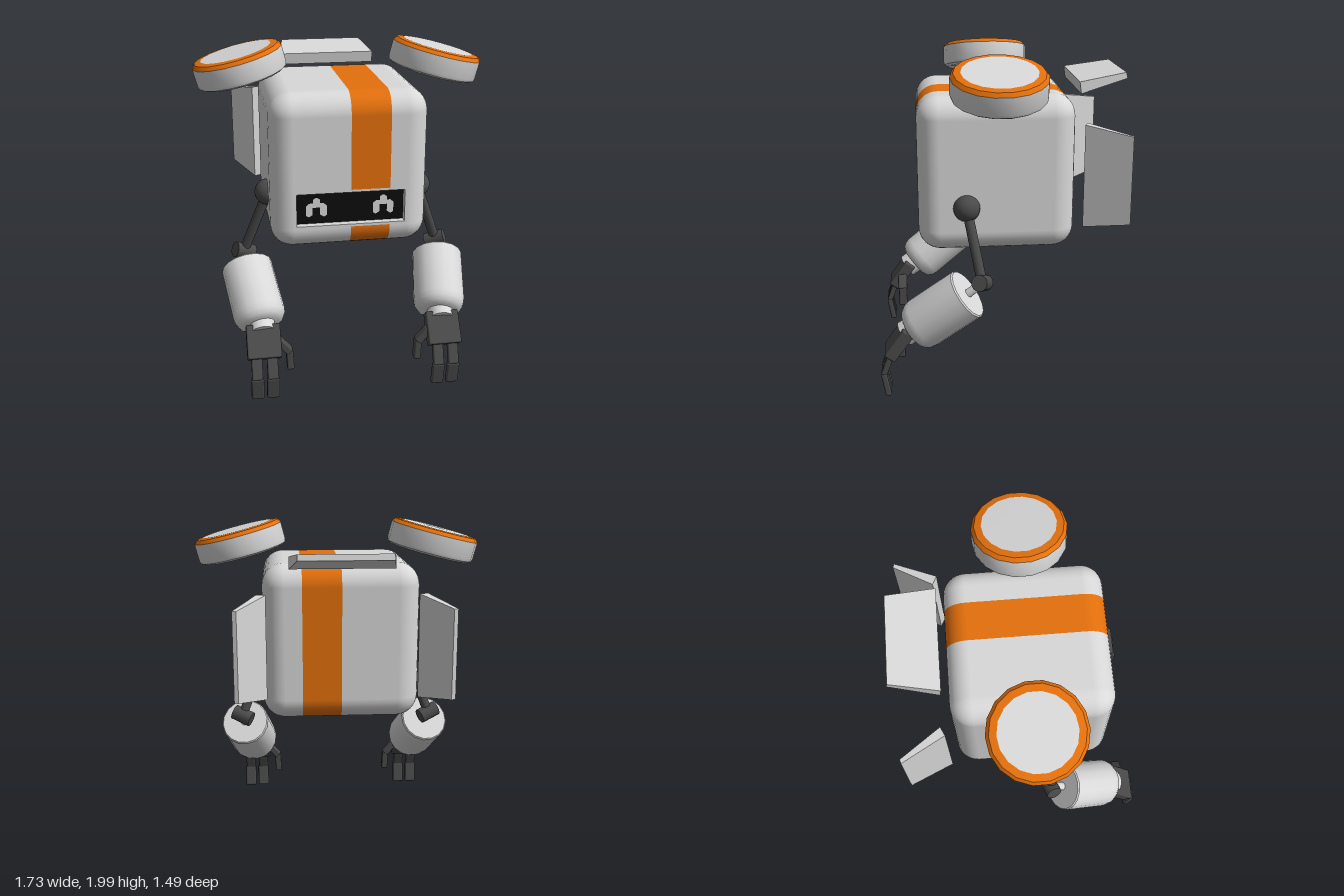
import * as THREE from 'three';
import { toCreasedNormals } from 'three/addons/utils/BufferGeometryUtils.js';
import { RoundedBoxGeometry } from 'three/addons/geometries/RoundedBoxGeometry.js';
import { ConvexGeometry } from 'three/addons/geometries/ConvexGeometry.js';

const paint = (name, color) => Object.assign(new THREE.MeshStandardMaterial({ color }), { name });
const V = (x, y, z) => new THREE.Vector3(x, y, z);
const UP = V(0, 1, 0);

export function createModel() {
  const white = paint('shellWhite', 0xd9d9d9);
  const orange = paint('stripeOrange', 0xe4700c);
  const dark = paint('jointGrey', 0x4a4a4a);
  const black = paint('screenBlack', 0x0c0c0c);

  const model = new THREE.Group();
  model.name = 'robot';

  const add = (parent, name, geometry, material) => {
    const mesh = new THREE.Mesh(geometry, material);
    mesh.name = name;
    parent.add(mesh);
    return mesh;
  };
  const group = (parent, name) => {
    const g = new THREE.Group();
    g.name = name;
    parent.add(g);
    return g;
  };
  const lathe = (profile, sides) => toCreasedNormals(
    new THREE.LatheGeometry(profile.map(([r, y]) => new THREE.Vector2(r, y)), sides), 0.6);

  // Round rod from a to b
  const rod = (parent, name, a, b, r, material) => {
    const d = b.clone().sub(a);
    const m = add(parent, name, new THREE.CylinderGeometry(r, r, d.length(), 16), material);
    m.position.copy(a).add(b).multiplyScalar(0.5);
    m.quaternion.setFromUnitVectors(UP, d.normalize());
    return m;
  };
  // Soft-edged bar from a to b, its width kept close to the x axis
  const bar = (parent, name, a, b, width, thick, material) => {
    const y = b.clone().sub(a);
    const m = add(parent, name, new RoundedBoxGeometry(width, y.length(), thick, 2, 0.01), material);
    y.normalize();
    const z = V(1, 0, 0).cross(y).normalize();
    m.quaternion.setFromRotationMatrix(new THREE.Matrix4().makeBasis(y.clone().cross(z), y, z));
    m.position.copy(a).add(b).multiplyScalar(0.5);
  };

  // Body: rounded cube grid with a wrap-around stripe and a screen opening
  const body = group(model, 'body');
  body.position.set(0, 1.2975, 0.037);
  const H = 0.4625, R = 0.13, I = H - R;
  const SX = 0.318, SY0 = -0.312, SY1 = -0.115;
  const arc = [1, 2, 3, 4].map(k => I + R * Math.tan(k * Math.PI / 16));
  const line = cuts => [...arc.map(a => -a).reverse(), -I, ...cuts, I, ...arc];
  const grid = [line([-SX, 0, 0.23, SX]), line([-0.327, SY0, SY1, -0.1]), line([])];
  const skins = { shell: { pos: [], nor: [] }, stripe: { pos: [], nor: [] } };
  const putVertex = (skin, p) => {
    const inner = p.clone().clampScalar(-I, I);
    const n = p.clone().sub(inner).normalize();
    skin.nor.push(n.x, n.y, n.z);
    inner.addScaledVector(n, R);
    skin.pos.push(inner.x, inner.y, inner.z);
  };
  for (let axis = 0; axis < 3; axis++) for (const sign of [-1, 1]) {
    const u = (axis + 1) % 3, v = (axis + 2) % 3;
    const front = axis === 2 && sign > 0;
    const point = (a, b) => V().setComponent(axis, sign * H).setComponent(u, a).setComponent(v, b);
    for (let i = 0; i < grid[u].length - 1; i++) for (let j = 0; j < grid[v].length - 1; j++) {
      const [a0, a1, b0, b1] = [grid[u][i], grid[u][i + 1], grid[v][j], grid[v][j + 1]];
      const c = point((a0 + a1) / 2, (b0 + b1) / 2);
      if (front && Math.abs(c.x) < SX && c.y > SY0 && c.y < SY1) continue;
      const striped = axis !== 0 && c.x > 0 && c.x < 0.23 && !(front && c.y > -0.327 && c.y < -0.1);
      const q = [point(a0, b0), point(a1, b0), point(a1, b1), point(a0, b1)];
      if (sign < 0) q.reverse();
      for (const k of [0, 1, 2, 0, 2, 3]) putVertex(striped ? skins.stripe : skins.shell, q[k]);
    }
  }
  for (const [name, material] of [['shell', white], ['stripe', orange]]) {
    const g = new THREE.BufferGeometry();
    g.setAttribute('position', new THREE.Float32BufferAttribute(skins[name].pos, 3));
    g.setAttribute('normal', new THREE.Float32BufferAttribute(skins[name].nor, 3));
    add(body, name, g, material);
  }

  // Recessed screen: frame walls, dark panel and two arch-shaped eyes
  const rect = (P, x, y0, y1) => new P([[-x, y0], [x, y0], [x, y1], [-x, y1]].map(p => new THREE.Vector2(...p)));
  const frameShape = rect(THREE.Shape, SX + 0.01, SY0 - 0.01, SY1 + 0.01);
  frameShape.holes.push(rect(THREE.Path, SX, SY0, SY1));
  add(body, 'screenFrame', new THREE.ExtrudeGeometry(frameShape, { depth: 0.05, bevelEnabled: false }), white)
    .position.z = H - 0.051;
  add(body, 'screen', new THREE.BoxGeometry(SX * 2 + 0.01, SY1 - SY0 + 0.01, 0.008), black)
    .position.set(0, (SY0 + SY1) / 2, H - 0.05);
  const half = [[0.005, 0.117], [0.021, 0.107], [0.021, 0.085], [0.042, 0.085], [0.061, 0.069],
    [0.061, 0.01], [0.045, 0], [0.022, 0.014], [0.022, 0.058]];
  const eyeShape = new THREE.Shape([...half, ...half.map(([x, y]) => [-x, y]).reverse()]
    .map(p => new THREE.Vector2(...p)));
  for (const s of [-1, 1]) {
    add(body, s > 0 ? 'leftEye' : 'rightEye', new THREE.ShapeGeometry(eyeShape), white)
      .position.set(s * 0.198, -0.272, H - 0.043);
  }

  // Rear flaps: tapered wedges given by a side section and two half widths
  const flap = (name, section, near, far, place) => {
    const pts = section.flatMap(([out, z], i) => [-1, 1].map(s => place(out, z, s * (i < 2 ? near : far))));
    add(model, name, new ConvexGeometry(pts), white);
  };
  flap('topFlap', [[1.815, -0.455], [1.745, -0.465], [1.86, -0.737], [1.825, -0.745]], 0.305, 0.262,
    (out, z, w) => V(w, out, z));
  for (const s of [-1, 1]) {
    flap(s > 0 ? 'leftFlap' : 'rightFlap',
      [[0.49, -0.46], [0.438, -0.485], [0.617, -0.713], [0.593, -0.72]], 0.305, 0.258,
      (out, z, w) => V(s * out, 1.297 + w, z));
  }

  for (const s of [-1, 1]) {
    const side = s > 0 ? 'left' : 'right';
    const P = (x, y, z) => V(s * x, y, z);

    // Tilted shoulder pod floating beside the top of the body
    const pod = group(model, side + 'Pod');
    pod.position.set(s * 0.592, 1.853, 0.037);
    pod.rotation.z = -s * 0.253;
    add(pod, 'podShell', lathe([[0, -0.062], [0.13, -0.062], [0.145, -0.079], [0.25, -0.079],
      [0.268, -0.068], [0.2735, -0.05], [0.2735, 0.052]], 18), white);
    add(pod, 'podRing', lathe([[0.2735, 0.052], [0.255, 0.074], [0.214, 0.079]], 18), orange);
    add(pod, 'podCap', lathe([[0.214, 0.079], [0, 0.081]], 18), white);

    // Arm
    const arm = group(model, side + 'Arm');
    const shoulder = P(0.46, 1.115, 0.217);
    add(arm, 'shoulder', new THREE.SphereGeometry(0.079, 20, 14), dark).position.copy(shoulder);
    rod(arm, 'upperArm', shoulder, P(0.61, 0.71, 0.14), 0.03, dark);
    rod(arm, 'elbow', P(0.555, 0.685, 0.118), P(0.665, 0.728, 0.16), 0.048, dark);
    const top = P(0.602, 0.64, 0.222), end = P(0.54, 0.395, 0.545);
    rod(arm, 'elbowPin', P(0.61, 0.705, 0.14), top, 0.026, white);
    const axis = end.clone().sub(top).normalize();
    const forearm = add(arm, 'forearm', lathe([[0, 0], [0.148, 0], [0.155, 0.008], [0.156, 0.33],
      [0.15, 0.365], [0.133, 0.392], [0.105, 0.408], [0, 0.41]], 16), white);
    // The lathe profile is ordered upward, so it is aimed along the arm
    forearm.position.copy(top);
    forearm.quaternion.setFromUnitVectors(UP, axis);
    rod(arm, 'wrist', P(0.545, 0.42, 0.52), P(0.54, 0.37, 0.595), 0.078, white);

    // Hand: palm, two fingers and a thumb
    const hand = group(arm, side + 'Hand');
    bar(hand, 'palm', P(0.54, 0.41, 0.572), P(0.54, 0.25, 0.69), 0.2, 0.075, dark);
    for (const x of [0.497, 0.588]) {
      bar(hand, 'fingerBase', P(x, 0.265, 0.68), P(x, 0.135, 0.727), 0.064, 0.036, dark);
      bar(hand, 'fingerTip', P(x, 0.145, 0.726), P(x, 0.002, 0.7), 0.074, 0.036, dark);
    }
    bar(hand, 'thumbBase', P(0.455, 0.335, 0.63), P(0.385, 0.255, 0.628), 0.045, 0.06, dark);
    bar(hand, 'thumbTip', P(0.39, 0.27, 0.628), P(0.384, 0.142, 0.628), 0.042, 0.055, dark);
  }
  return model;
}
